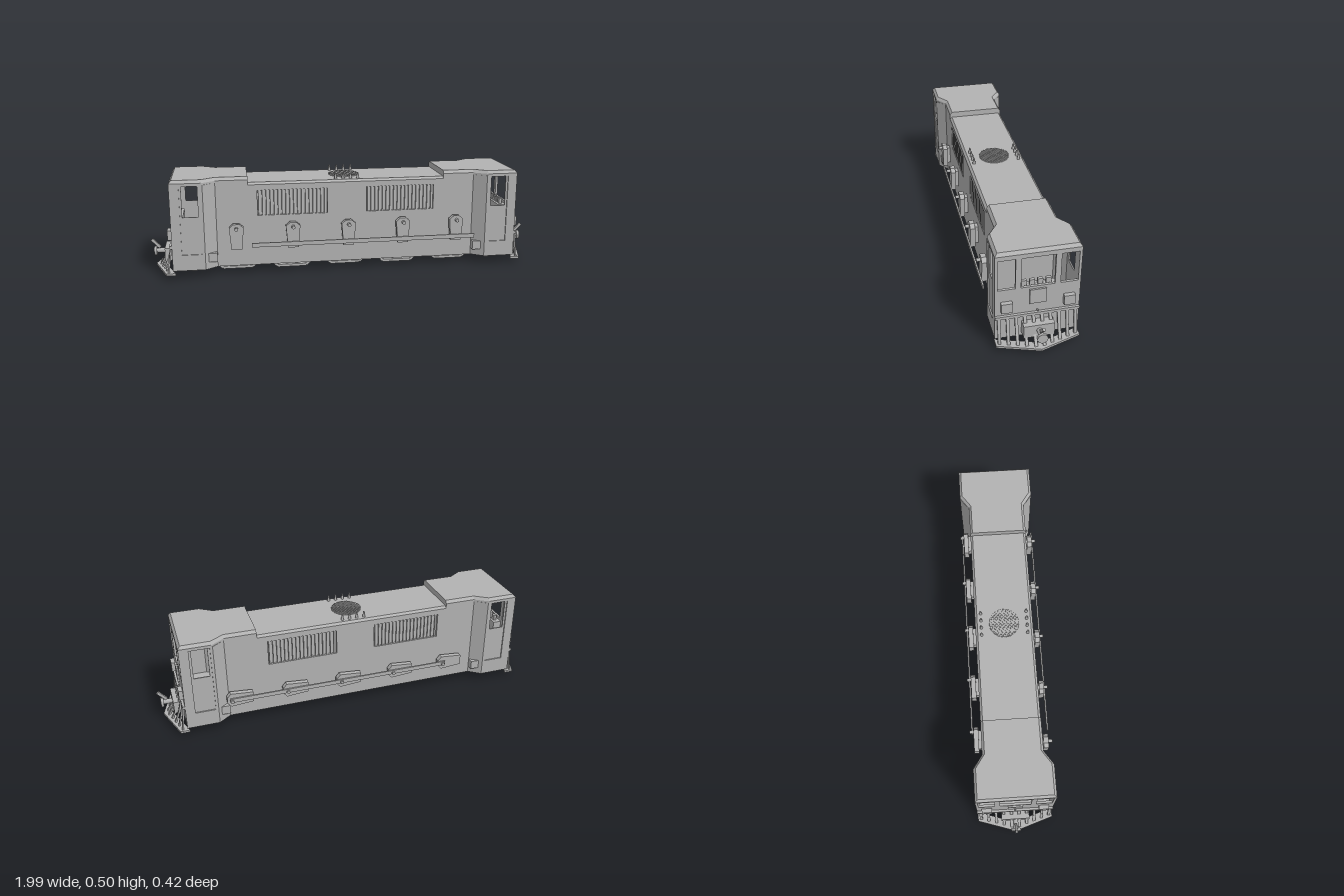
import * as THREE from 'three';

const grey = new THREE.MeshStandardMaterial({ color: 0xb2b2b2 });
grey.name = 'plain grey';

function add(parent, name, geo, x = 0, y = 0, z = 0) {
  const m = new THREE.Mesh(geo, grey);
  m.name = name;
  m.position.set(x, y, z);
  parent.add(m);
  return m;
}
// box given by its lower and upper corners
function box(parent, name, x0, x1, y0, y1, z0, z1) {
  return add(parent, name, new THREE.BoxGeometry(x1 - x0, y1 - y0, z1 - z0),
    (x0 + x1) / 2, (y0 + y1) / 2, (z0 + z1) / 2);
}
// square bar between two points
function beam(parent, name, a, b, w, h) {
  const A = new THREE.Vector3(...a), B = new THREE.Vector3(...b);
  const m = add(parent, name, new THREE.BoxGeometry(w, h, A.distanceTo(B)));
  m.position.copy(A).add(B).multiplyScalar(0.5);
  m.lookAt(B);
  return m;
}
function rod(parent, name, axis, r, len, x, y, z, sides = 12, r2 = r) {
  const g = new THREE.CylinderGeometry(r2, r, len, sides);
  if (axis === 'x') g.rotateZ(-Math.PI / 2);
  if (axis === 'z') g.rotateX(Math.PI / 2);
  return add(parent, name, g, x, y, z);
}
const shapeOf = pts => new THREE.Shape(pts.map(p => new THREE.Vector2(...p)));
// flat panel with rectangular holes [u0, u1, v0, v1]
function panelGeo(u0, u1, v0, v1, depth, holes) {
  const s = shapeOf([[u0, v0], [u1, v0], [u1, v1], [u0, v1]]);
  for (const [a, b, c, d] of holes)
    s.holes.push(new THREE.Path([[a, c], [a, d], [b, d], [b, c]].map(p => new THREE.Vector2(...p))));
  return new THREE.ExtrudeGeometry(s, { depth, bevelEnabled: false });
}
// upright prism from a plan of [x, z] points
function planGeo(pts, y0, y1) {
  const g = new THREE.ExtrudeGeometry(shapeOf(pts.map(([x, z]) => [x, -z])), { depth: y1 - y0, bevelEnabled: false });
  return g.rotateX(-Math.PI / 2).translate(0, y0, 0);
}
// stacked plans joined by side faces, closed on top and bottom
function loftGeo(rings) {
  const pos = [], n = rings[0].pts.length;
  const P = (r, i) => [rings[r].pts[i % n][0], rings[r].y, rings[r].pts[i % n][1]];
  for (let r = 0; r + 1 < rings.length; r++)
    for (let i = 0; i < n; i++)
      pos.push(...P(r, i), ...P(r, i + 1), ...P(r + 1, i + 1), ...P(r, i), ...P(r + 1, i + 1), ...P(r + 1, i));
  const last = rings.length - 1;
  const tris = THREE.ShapeUtils.triangulateShape(rings[0].pts.map(([x, z]) => new THREE.Vector2(x, -z)), []);
  for (const [a, b, c] of tris) pos.push(...P(last, a), ...P(last, b), ...P(last, c), ...P(0, a), ...P(0, c), ...P(0, b));
  const g = new THREE.BufferGeometry();
  g.setAttribute('position', new THREE.Float32BufferAttribute(pos, 3));
  g.computeVertexNormals();
  return g;
}

// one cab with its pilot and coupler, facing +x
function makeCab() {
  const cab = new THREE.Group();
  // raised roof with chamfered edges (counter-clockwise plan seen from above)
  const roofPlan = (e, c) => [[0.5, c], [0.66, c], [0.725, e], [0.88 - 0.19 + e, e],
    [0.88 - 0.19 + e, -e], [0.725, -e], [0.66, -c], [0.5, -c]];
  add(cab, 'cabRoof', loftGeo([
    { y: 0.475, pts: roofPlan(0.19, 0.145) }, { y: 0.49, pts: roofPlan(0.19, 0.145) },
    { y: 0.505, pts: roofPlan(0.178, 0.133) }]));
  box(cab, 'roofRiser', 0.5, 0.66, 0.455, 0.48, -0.145, 0.145);

  // end wall with three windows
  const end = panelGeo(-0.19, 0.19, 0.05, 0.48, 0.012,
    [[-0.178, -0.1, 0.315, 0.468], [-0.075, 0.075, 0.315, 0.468], [0.1, 0.178, 0.315, 0.468]]);
  add(cab, 'endWall', end.rotateY(Math.PI / 2).translate(0.868, 0, 0));
  box(cab, 'endPlate', 0.88, 0.888, 0.228, 0.302, -0.037, 0.037);
  rod(cab, 'endStud', 'x', 0.004, 0.01, 0.884, 0.185, 0, 8);

  for (const s of [-1, 1]) {
    // side wall, recessed door with window, tapered wall
    add(cab, 'cabSide', panelGeo(0.72, 0.88, 0.05, 0.48, 0.012, [[0.733, 0.833, 0.13, 0.478]]), 0, 0, s > 0 ? 0.178 : -0.19);
    add(cab, 'cabDoor', panelGeo(0.733, 0.833, 0.13, 0.48, 0.006, [[0.745, 0.822, 0.32, 0.474]]), 0, 0, s > 0 ? 0.178 : -0.184);
    const taper = [[0.66, s * 0.145], [0.72, s * 0.19], [0.72, s * 0.178], [0.66, s * 0.133]];
    add(cab, 'taperWall', planGeo(taper, 0.05, 0.48));
    // lamp housings
    box(cab, 'lampBox', 0.88, 0.9, 0.203, 0.252, s * 0.14 - 0.025, s * 0.14 + 0.025);
    // sloped pilot bars over a V-shaped foot plate
    for (let i = 0; i < 5; i++) {
      const z = s * (0.019 + i * 0.0385), out = 0.965 - 0.06 * Math.abs(z) / 0.19;
      const kneeX = 0.885 + (out - 0.885) * 0.4;
      beam(cab, 'pilotBar', [0.884, 0.172, z], [kneeX, 0.09, z], 0.014, 0.008);
      beam(cab, 'pilotBar', [kneeX, 0.092, z], [out - 0.008, 0.036, z], 0.014, 0.008);
    }
    const foot = [[0.868, s * 0.19], [0.914, s * 0.19], [0.975, 0], [0.93, 0]];
    add(cab, 'footPlate', planGeo(foot, 0.027, 0.038));
    // small carrying wheels
    rod(cab, 'wheel', 'z', 0.032, 0.016, 0.78, 0.037, s * 0.062, 16);
    rod(cab, 'wheelHub', 'z', 0.014, 0.026, 0.78, 0.037, s * 0.062, 10);
    box(cab, 'axleBox', 0.745, 0.815, 0.042, 0.085, s * 0.045 - 0.008, s * 0.045 + 0.008);
    beam(cab, 'wheelArm', [0.78, 0.04, s * 0.045], [0.62, 0.06, s * 0.045], 0.01, 0.014);
  }
  box(cab, 'pilotRail', 0.878, 0.892, 0.164, 0.178, -0.19, 0.19);
  rod(cab, 'axle', 'z', 0.009, 0.13, 0.78, 0.037, 0, 8);

  // interior
  box(cab, 'cabFloor', 0.66, 0.87, 0.085, 0.13, -0.178, 0.178);
  box(cab, 'bulkhead', 0.65, 0.66, 0.08, 0.48, -0.14, 0.14);
  box(cab, 'controlDesk', 0.825, 0.868, 0.13, 0.3, -0.09, 0.09);
  for (const z of [-0.055, -0.018, 0.018, 0.055]) box(cab, 'controlLever', 0.838, 0.852, 0.3, 0.328, z - 0.012, z + 0.012);

  // coupler
  box(cab, 'couplerBox', 0.88, 0.925, 0.07, 0.133, -0.07, 0.07);
  rod(cab, 'couplerShank', 'x', 0.013, 0.06, 0.945, 0.105, 0, 8);
  rod(cab, 'couplerFace', 'x', 0.025, 0.014, 0.975, 0.103, 0, 8);
  beam(cab, 'couplerHook', [0.952, 0.122, 0], [0.992, 0.165, 0], 0.012, 0.014);
  return cab;
}

// tapered side box with a bolt, centred, standing on z = 0
function makeSideBox() {
  const g = new THREE.Group();
  g.name = 'sideBox';
  const s = shapeOf([[-0.027, -0.065], [0.027, -0.065], [0.036, 0.047], [0.015, 0.065], [-0.015, 0.065], [-0.036, 0.047]]);
  add(g, 'sideBoxCover', new THREE.ExtrudeGeometry(s, { depth: 0.025, bevelEnabled: false }), 0, 0, 0.018);
  box(g, 'sideBoxMount', -0.018, 0.018, -0.05, 0.045, 0, 0.02);
  rod(g, 'sideBoxBolt', 'z', 0.009, 0.02, 0, 0.043, 0.053, 10);
  return g;
}

export function createModel() {
  const model = new THREE.Group();
  model.name = 'locomotive';

  // cabs at both ends
  [0, Math.PI].forEach((turn, i) => {
    const cab = makeCab();
    cab.name = i ? 'rightCab' : 'leftCab';
    cab.rotation.y = turn;
    model.add(cab);
  });

  // hood sides with louvred openings
  const vents = [[-0.455, -0.103, 0.307, 0.435], [0.097, 0.449, 0.307, 0.435]];
  for (const s of [-1, 1]) {
    add(model, 'hoodSide', panelGeo(-0.66, 0.66, 0.05, 0.462, 0.012, vents), 0, 0, s > 0 ? 0.133 : -0.145);
    for (const [a, b, c, d] of vents) {
      box(model, 'ventBack', a, b, c, d, s * 0.13 - 0.003, s * 0.13 + 0.003);
      for (let i = 0; i < 18; i++) {
        const x = a + (i + 0.5) * (b - a) / 18;
        const slat = box(model, 'ventSlat', x - 0.006, x + 0.006, c, d, s * 0.139 - 0.002, s * 0.139 + 0.002);
        slat.rotation.y = 0.5;
      }
    }
    // long pipe strip along the side
    box(model, 'sideStrip', -0.49, 0.66, 0.157, 0.178, s * 0.195 - 0.004, s * 0.195 + 0.004);
    // roof studs
    for (const x of [-0.057, -0.019, 0.019, 0.057])
      rod(model, 'roofStud', 'y', 0.008, 0.03, x, 0.489, s * 0.115, 8, 0.004);
  }
  box(model, 'floor', -0.66, 0.66, 0.085, 0.095, -0.135, 0.135);
  const top = (z, y) => ({ y, pts: [[-0.5, z], [0.5, z], [0.5, -z], [-0.5, -z]] });
  add(model, 'hoodTop', loftGeo([top(0.145, 0.455), top(0.145, 0.464), top(0.134, 0.475)]));

  // round fan grille made of crossing bars
  rod(model, 'fanRim', 'y', 0.076, 0.004, 0, 0.476, 0, 16);
  for (const turn of [Math.PI / 4, -Math.PI / 4])
    for (let i = -5; i <= 5; i++) {
      const d = i * 0.0132, h = Math.sqrt(0.074 ** 2 - d * d);
      const P = u => [u * Math.cos(turn) - d * Math.sin(turn), 0.48, u * Math.sin(turn) + d * Math.cos(turn)];
      beam(model, 'fanBar', P(-h), P(h), 0.005, 0.005);
    }

  // side boxes: upright at the front, lying along the back
  for (let i = -2; i <= 2; i++) {
    const front = makeSideBox();
    front.position.set(i * 0.282, 0.21, 0.145);
    model.add(front);
    const holder = new THREE.Group();
    holder.name = 'rearSideBox';
    const rear = makeSideBox();
    rear.rotation.z = Math.PI / 2;
    holder.add(rear);
    holder.rotation.y = Math.PI;
    holder.position.set(0.045 + i * 0.282, 0.165, -0.145);
    model.add(holder);
  }

  // hanging trapezoid frames under the floor, every second one cross-braced
  for (let i = -2; i <= 2; i++) {
    const cx = i * 0.28, braced = i % 2 !== 0, low = braced ? 0.012 : 0.018;
    for (const s of [-1, 1]) {
      const z = s * 0.062, zl = braced ? s * 0.056 : z;
      const pts = [[cx - 0.15, 0.085, z], [cx - 0.075, low, zl], [cx + 0.075, low, zl], [cx + 0.15, 0.085, z]];
      for (let k = 0; k < 3; k++) beam(model, 'underFrame', pts[k], pts[k + 1], 0.024, 0.013);
    }
    if (braced) for (const dx of [-0.075, -0.025, 0.025, 0.075])
      beam(model, 'crossTie', [cx + dx, low + 0.006, -0.056], [cx + dx, low + 0.006, 0.056], 0.012, 0.012);
  }
  return model;
}
